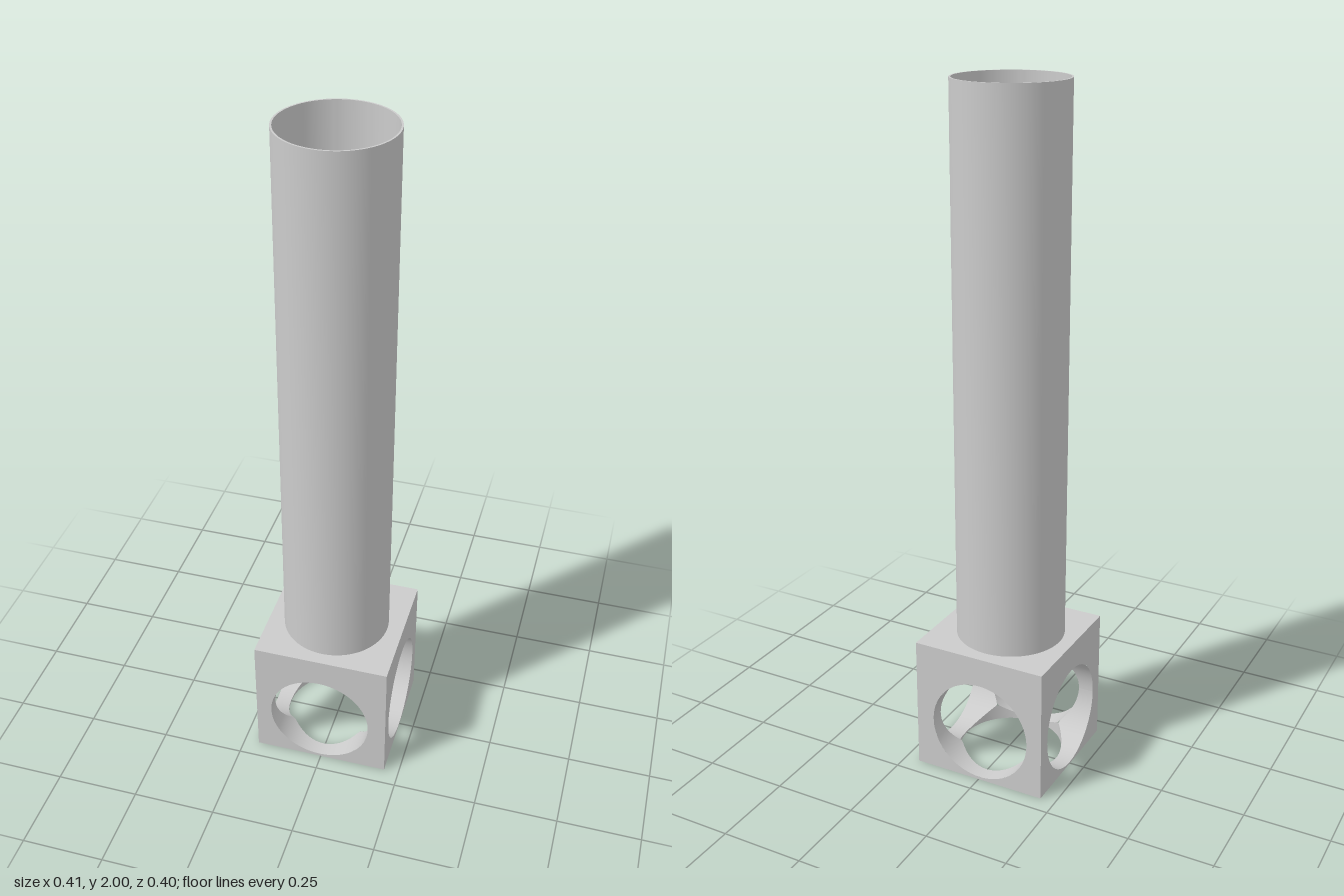
import * as THREE from 'three';
import { toCreasedNormals } from 'three/addons/utils/BufferGeometryUtils.js';

const SEG = 96;
const HALF = [0.2045, 0.2025, 0.199]; // half sizes of the hub block (x, y, z)
const MID = [0, 0.2025, 0]; // middle of the hub block
const HUB = [-0.004, 0.163, 0]; // point where the three bores cross
const BORE = [0.158, 0.155, 0.154]; // bore radius along x, y, z

const material = new THREE.MeshStandardMaterial({ color: 0xcccccc });

// Square face of the block with a round opening
function panelGeometry(cu, cv, hu, hv, r, depth) {
  const shape = new THREE.Shape([
    new THREE.Vector2(cu - hu, cv - hv), new THREE.Vector2(cu + hu, cv - hv),
    new THREE.Vector2(cu + hu, cv + hv), new THREE.Vector2(cu - hu, cv + hv),
  ]);
  shape.holes.push(new THREE.Path().absarc(0, 0, r, 0, Math.PI * 2, true));
  return new THREE.ShapeGeometry(shape, SEG).translate(0, 0, depth);
}

// Bore wall from the face inwards to where it breaks into the crossing bores
function boreGeometry(r, ru, rv, depth) {
  const positions = [], index = [];
  for (let i = 0; i <= SEG; i++) {
    const t = (i / SEG) * Math.PI * 2;
    const u = r * Math.cos(t), v = r * Math.sin(t);
    const inner = Math.sqrt(Math.max(ru * ru - v * v, rv * rv - u * u, 0));
    positions.push(u, v, depth, u, v, Math.min(inner, depth));
    if (i < SEG) {
      const k = 2 * i;
      index.push(k, k + 2, k + 1, k + 2, k + 3, k + 1);
    }
  }
  const geometry = new THREE.BufferGeometry();
  geometry.setAttribute('position', new THREE.Float32BufferAttribute(positions, 3));
  geometry.setIndex(index);
  geometry.computeVertexNormals();
  return geometry;
}

// One side of the hub: local z points out of the block along the given axis
function createHubSide(axis, sign) {
  let u = (axis + 1) % 3, v = (axis + 2) % 3;
  if (sign < 0) [u, v] = [v, u];
  const unit = (a, s = 1) => new THREE.Vector3().setComponent(a, s);
  const depth = HALF[axis] + sign * (MID[axis] - HUB[axis]);

  const side = new THREE.Group();
  side.name = ['left', 'top', 'front', 'right', 'bottom', 'back'][axis + (sign < 0 ? 3 : 0)] + 'Side';
  const panel = new THREE.Mesh(
    panelGeometry(MID[u] - HUB[u], MID[v] - HUB[v], HALF[u], HALF[v], BORE[axis], depth), material);
  panel.name = 'panel';
  const wall = new THREE.Mesh(boreGeometry(BORE[axis], BORE[u], BORE[v], depth), material);
  wall.name = 'boreWall';
  side.add(panel, wall);
  side.applyMatrix4(new THREE.Matrix4().makeBasis(unit(u), unit(v), unit(axis, sign)).setPosition(...HUB));
  return side;
}

// Thin-walled upright pipe standing on the hub
function createPipe() {
  const bottom = 2 * HALF[1], inner = BORE[1], outer = 0.16;
  const profile = [[inner, bottom], [outer, bottom], [outer, 2], [inner, 2], [inner, bottom]]
    .map(([x, y]) => new THREE.Vector2(x, y));
  const pipe = new THREE.Mesh(toCreasedNormals(new THREE.LatheGeometry(profile, SEG), 0.6), material);
  pipe.name = 'pipe';
  pipe.position.set(HUB[0], 0, HUB[2]);
  return pipe;
}

export function createModel() {
  const model = new THREE.Group();
  model.name = 'pipeOnHub';

  const hub = new THREE.Group();
  hub.name = 'hubBlock';
  for (let axis = 0; axis < 3; axis++) {
    for (const sign of [1, -1]) hub.add(createHubSide(axis, sign));
  }

  model.add(hub, createPipe());
  return model;
}
